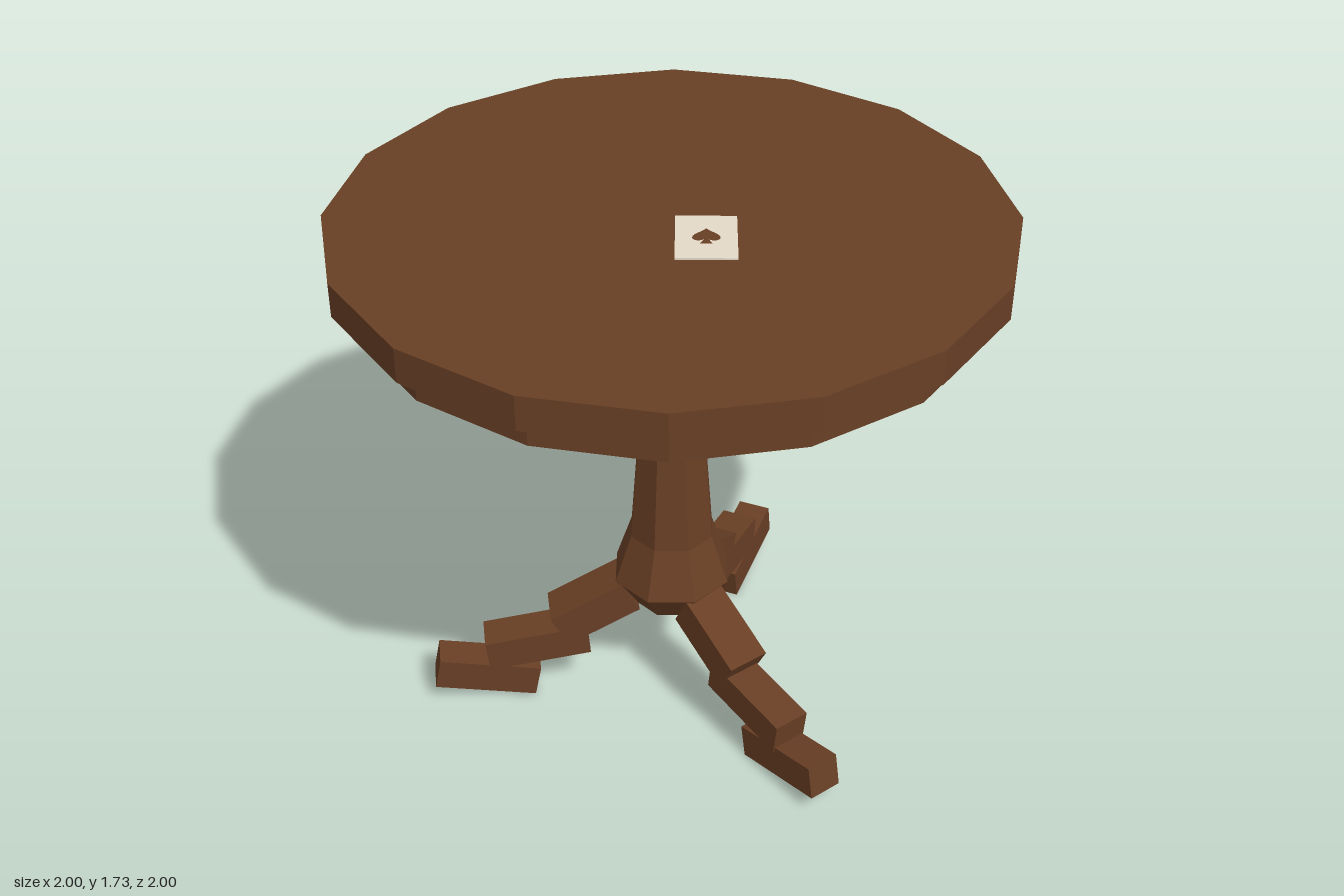
import * as THREE from 'three';

const wood = new THREE.MeshStandardMaterial({ name: 'brown wood', color: 0x693f25, flatShading: true });
const paper = new THREE.MeshStandardMaterial({ name: 'cream paper', color: 0xe4dac8 });

function part(name, geometry, material = wood) {
  const mesh = new THREE.Mesh(geometry, material);
  mesh.name = name;
  return mesh;
}

// Sixteen-sided disc between two heights
function disc(name, radius, y0, y1) {
  const mesh = part(name, new THREE.CylinderGeometry(radius, radius, y1 - y0, 16));
  mesh.position.y = (y0 + y1) / 2;
  return mesh;
}

// One leg of three stepped blocks, running out along +z
function makeLeg() {
  const leg = new THREE.Group();
  // name, width, height, length, y, z, tilt in degrees
  const blocks = [
    ['legUpper', 0.14, 0.12, 0.262, 0.334, 0.256, 28],
    ['legMiddle', 0.12, 0.108, 0.331, 0.2025, 0.444, 7.3],
    ['legFoot', 0.11, 0.108, 0.331, 0.09, 0.611, -11.2],
  ];
  for (const [name, w, h, l, y, z, tilt] of blocks) {
    const block = part(name, new THREE.BoxGeometry(w, h, l));
    block.position.set(0, y, z);
    block.rotation.x = THREE.MathUtils.degToRad(tilt);
    leg.add(block);
  }
  return leg;
}

// Spade pip outline, point towards +y
function spadeShape() {
  const s = new THREE.Shape();
  s.moveTo(0, 0.045);
  s.bezierCurveTo(0.012, 0.024, 0.04, 0.014, 0.04, -0.008);
  s.bezierCurveTo(0.04, -0.028, 0.014, -0.03, 0.006, -0.016);
  s.lineTo(0.018, -0.043);
  s.lineTo(-0.018, -0.043);
  s.lineTo(-0.006, -0.016);
  s.bezierCurveTo(-0.014, -0.03, -0.04, -0.028, -0.04, -0.008);
  s.bezierCurveTo(-0.04, 0.014, -0.012, 0.024, 0, 0.045);
  return s;
}

export function createModel() {
  const table = new THREE.Group();
  table.name = 'pedestalTable';

  // Top
  table.add(disc('tableTop', 1, 1.62, 1.725), disc('topRim', 0.942, 1.537, 1.622));

  // Eight-sided turned column
  const profile = [
    [0, 0.342], [0.12, 0.342], [0.193, 0.449], [0.138, 0.615], [0.11, 0.98],
    [0.164, 1.175], [0.124, 1.4], [0.194, 1.54],
  ].map(([r, y]) => new THREE.Vector2(r, y));
  table.add(part('column', new THREE.LatheGeometry(profile, 8)));

  // Three legs: one at the back, two towards the front
  ['backLeg', 'leftLeg', 'rightLeg'].forEach((name, i) => {
    const leg = makeLeg();
    leg.name = name;
    leg.rotation.y = [Math.PI, Math.PI / 3, -Math.PI / 3][i];
    table.add(leg);
  });

  // Playing card lying on the top
  const card = new THREE.Group();
  card.name = 'card';
  card.add(part('cardSheet', new THREE.BoxGeometry(0.176, 0.006, 0.243), paper));
  const pip = part('cardPip', new THREE.ShapeGeometry(spadeShape(), 6));
  pip.rotation.x = -Math.PI / 2;
  pip.position.y = 0.0045;
  card.add(pip);
  card.position.set(0.139, 1.728, 0.08);
  card.rotation.y = THREE.MathUtils.degToRad(22.3);
  table.add(card);

  return table;
}
